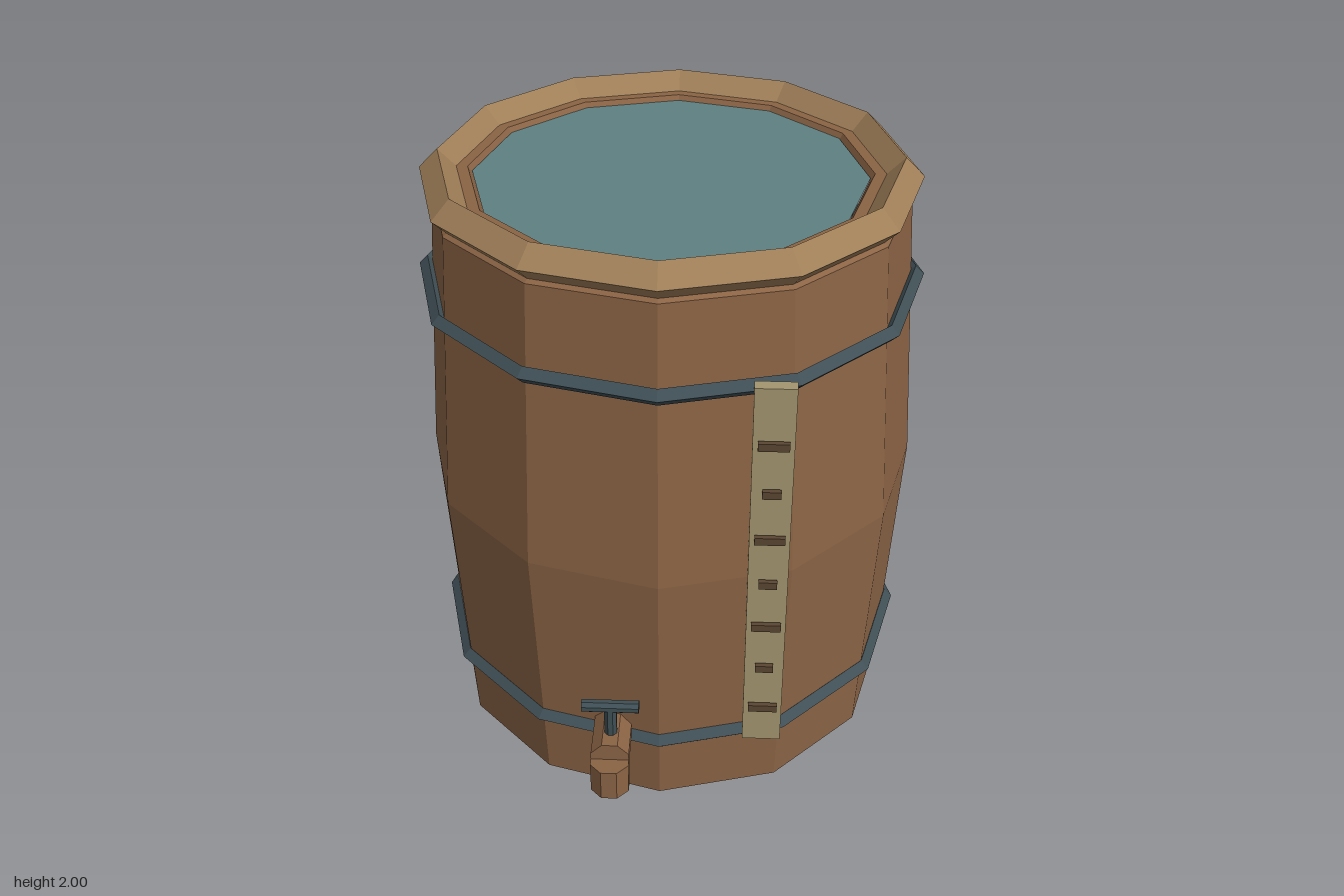
import * as THREE from 'three';

const SIDES = 12;
const mat = (color) => new THREE.MeshStandardMaterial({ color, flatShading: true });

export function createModel() {
  const model = new THREE.Group();
  const wood = mat(0x8b6445), paleWood = mat(0xa07f58), iron = mat(0x3f4f55);
  const waterMat = mat(0x5f8082), gaugeMat = mat(0xa4966f), tickMat = mat(0x5a4632);

  const add = (parent, name, geometry, material, x = 0, y = 0, z = 0) => {
    const mesh = new THREE.Mesh(geometry, material);
    mesh.name = name;
    mesh.position.set(x, y, z);
    parent.add(mesh);
    return mesh;
  };

  // Barrel, set slightly back so that the tap fits in the depth
  const barrel = new THREE.Group();
  barrel.name = 'barrel';
  barrel.position.z = -0.07;
  model.add(barrel);

  // Staves: closed base, bulging wall, chamfered lip and recessed inner wall
  const profile = [
    [0, 0], [0.665, 0], [0.755, 0.065], [0.8, 0.96], [0.738, 1.885],
    [0.66, 1.945], [0.62, 1.945], [0.605, 1.92],
  ].map(([r, y]) => new THREE.Vector2(r, y));
  add(barrel, 'staves', new THREE.LatheGeometry(profile, SIDES), wood);

  // Diamond-section rings: rim and two hoops
  const ring = (name, radius, tube, y, material) =>
    add(barrel, name, new THREE.TorusGeometry(radius, tube, 4, SIDES).rotateX(Math.PI / 2), material, 0, y, 0);
  ring('rim', 0.71, 0.06, 1.94, paleWood);
  ring('upperHoop', 0.77, 0.027, 1.612, iron);
  ring('lowerHoop', 0.77, 0.027, 0.31, iron);

  // Water surface
  add(barrel, 'water', new THREE.CircleGeometry(0.607, SIDES).rotateX(-Math.PI / 2), waterMat, 0, 1.93, 0);

  // Level gauge with alternating long and short marks
  const gauge = new THREE.Group();
  gauge.name = 'levelGauge';
  model.add(gauge);
  add(gauge, 'gaugeBoard', new THREE.BoxGeometry(0.12, 1.315, 0.04), gaugeMat, 0.325, 0.9875, 0.675);
  for (let i = 0; i < 7; i++) {
    const width = i % 2 ? 0.055 : 0.09;
    add(gauge, 'gaugeMark', new THREE.BoxGeometry(width, 0.025, 0.016), tickMat, 0.325, 0.48 + i * 0.1642, 0.71);
  }

  // Tap: pipe, downward spout and T-handle
  const tap = new THREE.Group();
  tap.name = 'tap';
  tap.position.x = -0.15;
  model.add(tap);
  const rod = (r, length) => new THREE.CylinderGeometry(r, r, length, 8).rotateY(Math.PI / 8);
  add(tap, 'tapPipe', rod(0.065, 0.26).rotateX(Math.PI / 2), wood, 0, 0.33, 0.68);
  add(tap, 'tapSpout', rod(0.065, 0.11), wood, 0, 0.275, 0.81);
  add(tap, 'handleStem', rod(0.021, 0.13), iron, 0, 0.435, 0.745);
  add(tap, 'handleBar', rod(0.021, 0.18).rotateZ(Math.PI / 2), iron, 0, 0.497, 0.745);

  return model;
}
